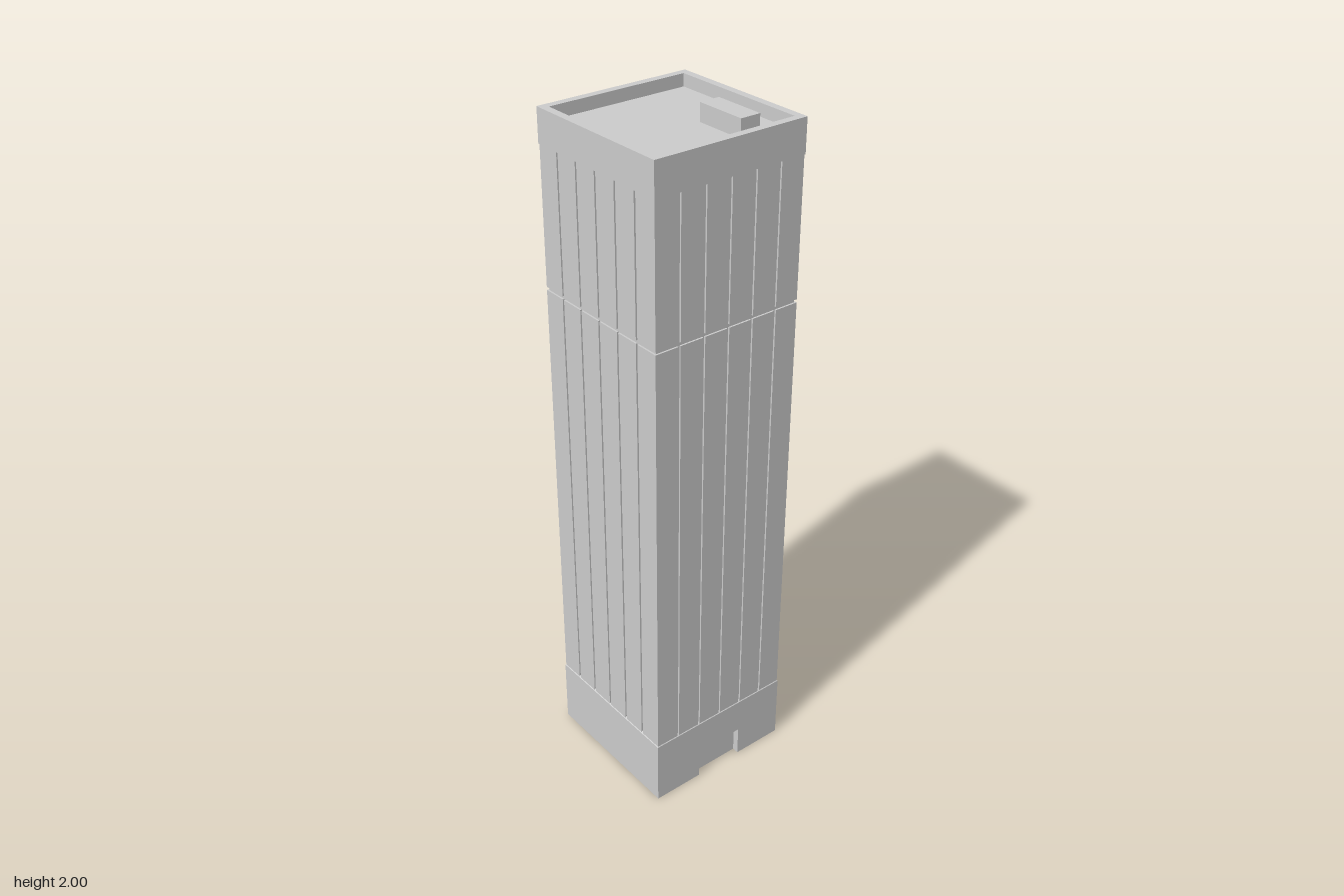
import * as THREE from 'three';

const W = 0.233;       // half width of base and crown
const SHAFT = 0.231;   // half width of panelled shaft
const CORE = 0.226;    // half width behind the grooves
const GROOVE = 0.003;  // half width of a groove
const BAY = 0.078;     // groove spacing

const material = new THREE.MeshStandardMaterial({ color: 0xcccccc, flatShading: true });

const square = (h) => [[-h, -h], [h, -h], [h, h], [-h, h]];
const toVectors = (pts) => pts.map(([x, y]) => new THREE.Vector2(x, y));

// Raises a plan outline (x, -z) from y0 to y1
function raise(name, outline, y0, y1, hole) {
  const shape = new THREE.Shape(toVectors(outline));
  if (hole) shape.holes.push(new THREE.Path(toVectors(hole)));
  const geometry = new THREE.ExtrudeGeometry(shape, { depth: y1 - y0, bevelEnabled: false });
  geometry.rotateX(-Math.PI / 2);
  geometry.translate(0, y0, 0);
  const mesh = new THREE.Mesh(geometry, material);
  mesh.name = name;
  return mesh;
}

// Square plan with five vertical grooves cut into each side
function groovedPlan() {
  const pts = [];
  for (let side = 0; side < 4; side++) {
    const a = side * Math.PI / 2, c = Math.cos(a), s = Math.sin(a);
    const add = (x, y) => pts.push([x * c - y * s, x * s + y * c]);
    add(-SHAFT, -SHAFT);
    for (let i = -2; i <= 2; i++) {
      const x = i * BAY;
      add(x - GROOVE, -SHAFT);
      add(x - GROOVE, -CORE);
      add(x + GROOVE, -CORE);
      add(x + GROOVE, -SHAFT);
    }
  }
  return pts;
}

export function createModel() {
  const model = new THREE.Group();
  model.name = 'tower';

  // Base with a shallow entrance recess in the front
  const door = 0.077, recess = 0.02;
  const entrancePlan = [
    [-W, -W], [-door, -W], [-door, -W + recess], [door, -W + recess],
    [door, -W], [W, -W], [W, W], [-W, W],
  ];
  model.add(raise('entranceBase', entrancePlan, 0, 0.095));
  model.add(raise('upperBase', square(W), 0.095, 0.205));

  // Sloped ledge between base and shaft
  const ledge = new THREE.Mesh(
    new THREE.CylinderGeometry(CORE * Math.SQRT2, W * Math.SQRT2, 0.007, 4, 1)
      .rotateY(Math.PI / 4).translate(0, 0.2085, 0), material);
  ledge.name = 'baseLedge';
  model.add(ledge);

  // Two panelled tiers, parted by a recessed band
  const plan = groovedPlan();
  model.add(raise('lowerShaft', plan, 0.205, 1.491));
  model.add(raise('recessedBand', square(CORE), 1.491, 1.5));
  model.add(raise('upperShaft', plan, 1.5, 1.89));

  // Crown: solid band, then the parapet around the sunken roof
  model.add(raise('crown', square(W), 1.89, 1.95));
  model.add(raise('parapet', square(W), 1.95, 1.985, square(0.211)));

  // Rooftop plant housing
  const housing = new THREE.Mesh(new THREE.BoxGeometry(0.06, 0.05, 0.152), material);
  housing.name = 'roofHousing';
  housing.position.set(0.1, 1.975, 0.102);
  model.add(housing);

  return model;
}
